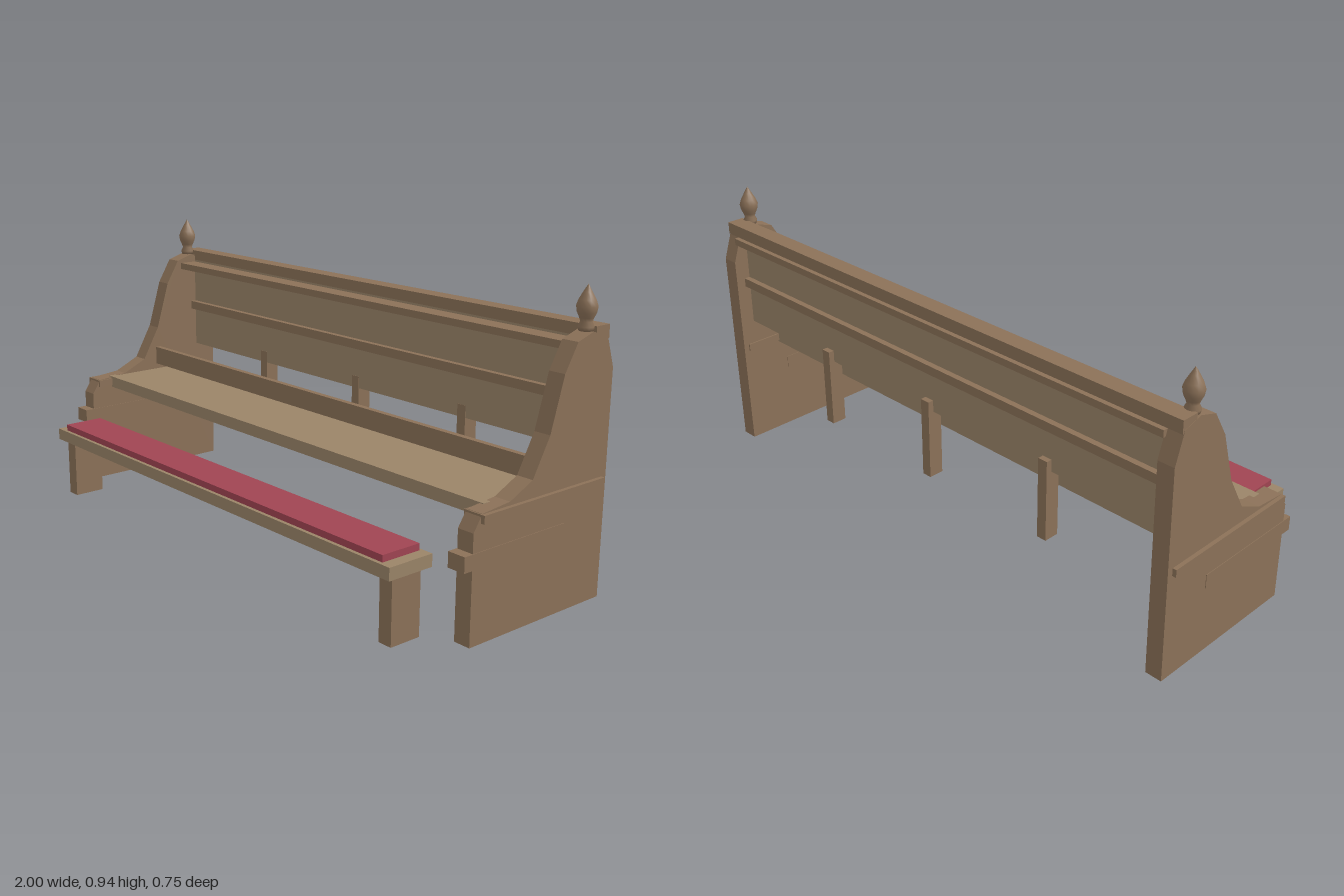
import * as THREE from 'three';

export function createModel() {
  const model = new THREE.Group();
  const dark = new THREE.MeshStandardMaterial({ color: 0x8b7158 });
  const light = new THREE.MeshStandardMaterial({ color: 0x9a8468 });
  const red = new THREE.MeshStandardMaterial({ color: 0xa04452 });

  const add = (name, geometry, material) => {
    const mesh = new THREE.Mesh(geometry, material);
    mesh.name = name;
    model.add(mesh);
    return mesh;
  };
  // Box given by its extents along each axis
  const box = (name, [x0, x1], [y0, y1], [z0, z1], material) =>
    add(name, new THREE.BoxGeometry(x1 - x0, y1 - y0, z1 - z0), material)
      .position.set((x0 + x1) / 2, (y0 + y1) / 2, (z0 + z1) / 2);
  // Board spanning between the two ends
  const board = (name, half, y, z, material) => box(name, [-half, half], y, z, material);

  // Side profile of the end panels, as (z, y)
  const profile = [
    [0.187, 0], [0.187, 0.33], [0.155, 0.378], [0.045, 0.388], [-0.045, 0.43], [-0.11, 0.545],
    [-0.16, 0.71], [-0.21, 0.793], [-0.275, 0.813], [-0.34, 0.795], [-0.373, 0.698], [-0.366, 0],
  ];
  const endShape = new THREE.Shape(profile.map(([z, y]) => new THREE.Vector2(-z, y)));
  const endGeometry = new THREE.ExtrudeGeometry(endShape, { depth: 0.056, bevelEnabled: false });
  endGeometry.translate(0, 0, -0.028).rotateY(Math.PI / 2);

  // Turned finial
  const finialGeometry = new THREE.LatheGeometry([
    [0, 0], [0.021, 0], [0.024, 0.012], [0.017, 0.026], [0.021, 0.037], [0.028, 0.052],
    [0.031, 0.07], [0.025, 0.088], [0.013, 0.11], [0, 0.132],
  ].map(([r, y]) => new THREE.Vector2(r, y)), 12);

  for (const s of [1, -1]) {
    const span = (a, b) => (s > 0 ? [a, b] : [-b, -a]);
    add('endPanel', endGeometry, dark).position.x = s * 0.958;
    add('finial', finialGeometry, dark).position.set(s * 0.958, 0.812, -0.276);
    box('armStrip', span(0.925, 0.999), [0.352, 0.377], [-0.35, 0.16], dark);
    box('kneelerBracket', span(0.928, 0.988), [0.225, 0.272], [-0.19, 0.22], dark);
    box('kneelerLeg', span(0.8, 0.848), [0, 0.206], [0.24, 0.348], dark);
  }

  // Seat and the low rail above it
  board('seat', 0.945, [0.345, 0.385], [-0.222, 0.105], light);
  board('lowRail', 0.935, [0.405, 0.47], [-0.12, -0.1], dark);

  // Backrest
  board('backPanel', 0.935, [0.46, 0.79], [-0.32, -0.29], light);
  board('middleRail', 0.935, [0.6, 0.63], [-0.34, -0.27], dark);
  board('ledge', 0.935, [0.76, 0.783], [-0.361, -0.225], dark);
  board('topRail', 0.985, [0.785, 0.826], [-0.348, -0.29], dark);
  for (const x of [-0.5, 0, 0.49]) {
    box('backPost', [x - 0.017, x + 0.017], [0.23, 0.5], [-0.34, -0.289], dark);
  }

  // Kneeler
  board('kneelerPlank', 0.864, [0.205, 0.244], [0.213, 0.375], light);
  board('kneelerCushion', 0.825, [0.243, 0.265], [0.224, 0.363], red);

  return model;
}
